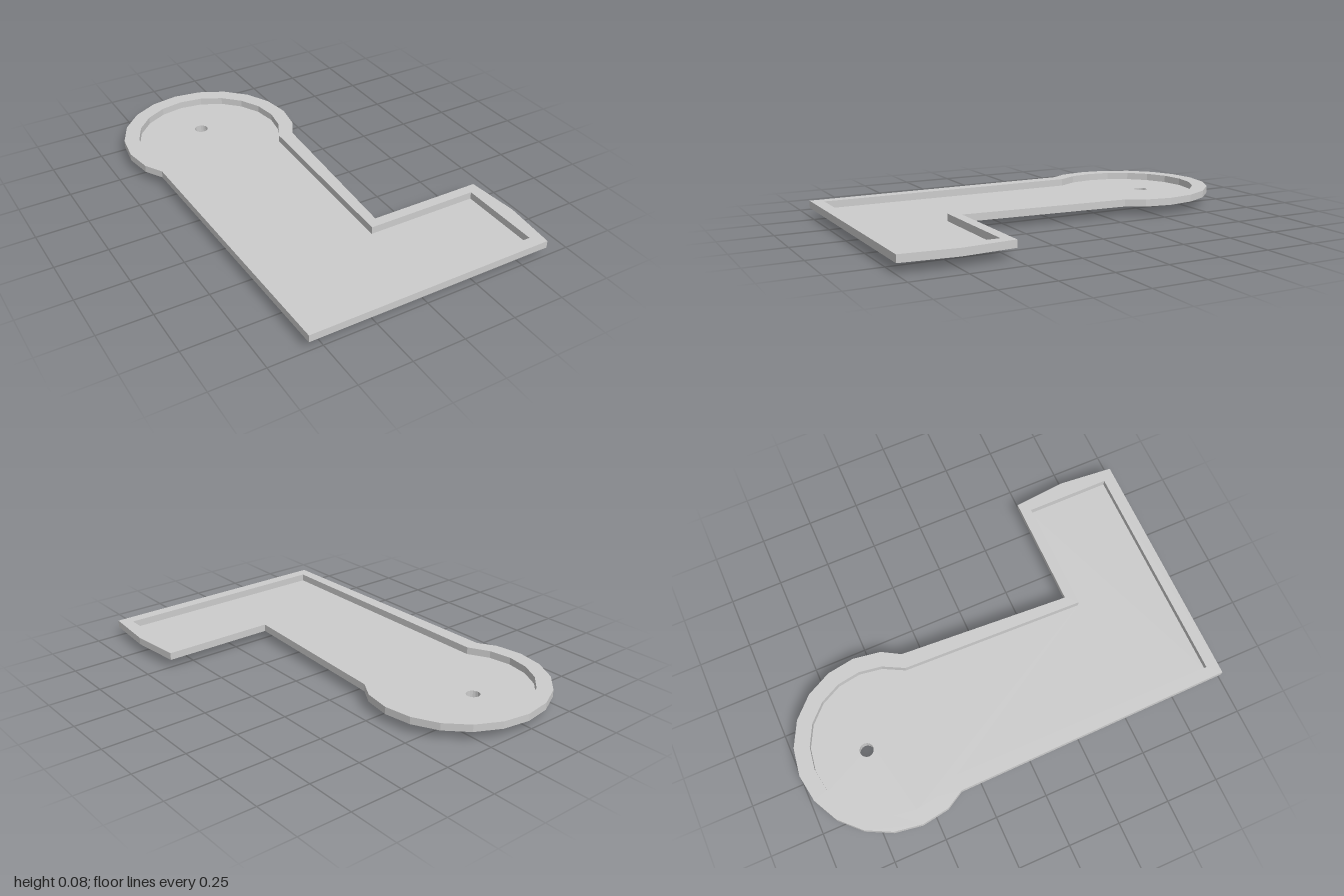
import * as THREE from 'three';

const BOTTOM = 0.045, TOP = 0.08;
const CX = -0.228, CZ = -0.57; // centre of the round end
const HOLE = { x: CX, z: -0.675, r: 0.033, sides: 16 };

const material = new THREE.MeshStandardMaterial({
  color: 0xcccccc, flatShading: true, side: THREE.DoubleSide,
});

// Round end in 18 degree steps, from the left neck over the back to the right neck
function roundEnd(radius) {
  const points = [];
  for (let i = -6; i <= 6; i++) {
    const a = (i * Math.PI) / 10;
    points.push([CX + radius * Math.sin(a), CZ - radius * Math.cos(a)]);
  }
  return points;
}

// Plan outlines as [x, z]
const outer = [
  ...roundEnd(0.43),
  [0.13, -0.35], [0.08, 0.485], [0.63, 0.485], [0.653, 0.74], [0.63, 1], [-0.566, 1], [-0.587, -0.35],
];
const inner = [
  ...roundEnd(0.356),
  [0.058, -0.36], [0.03, 0.535], [0.578, 0.535], [0.578, 0.943], [-0.513, 0.943], [-0.513, -0.36],
];
const cup = Array.from({ length: HOLE.sides }, (_, i) => {
  const a = (i / HOLE.sides) * Math.PI * 2;
  return [HOLE.x + HOLE.r * Math.sin(a), HOLE.z - HOLE.r * Math.cos(a)];
});

function addMesh(group, name, geometry) {
  const mesh = new THREE.Mesh(geometry, material);
  mesh.name = name;
  group.add(mesh);
}

// Horizontal sheet with an opening, facing up at height y
function sheet(outline, opening, y) {
  const flat = (list) => list.map(([x, z]) => new THREE.Vector2(x, -z));
  const shape = new THREE.Shape(flat(outline));
  shape.holes.push(new THREE.Path(flat(opening)));
  return new THREE.ShapeGeometry(shape).rotateX(-Math.PI / 2).translate(0, y, 0);
}

// Vertical band along a closed outline; inward turns its faces to the inside
function wall(outline, y0, y1, inward) {
  const positions = [];
  outline.forEach((p, i) => {
    let a = p, b = outline[(i + 1) % outline.length];
    if (inward) [a, b] = [b, a];
    positions.push(
      a[0], y0, a[1], a[0], y1, a[1], b[0], y1, b[1],
      a[0], y0, a[1], b[0], y1, b[1], b[0], y0, b[1],
    );
  });
  const geometry = new THREE.BufferGeometry();
  geometry.setAttribute('position', new THREE.Float32BufferAttribute(positions, 3));
  geometry.computeVertexNormals();
  return geometry;
}

export function createModel() {
  const model = new THREE.Group();
  model.name = 'miniGolfLane';

  // Sunken playing surface with the hole cut through
  addMesh(model, 'floor', sheet(inner, cup, BOTTOM));

  // Hollow border, open underneath
  const border = new THREE.Group();
  border.name = 'border';
  addMesh(border, 'borderTop', sheet(outer, inner, TOP));
  addMesh(border, 'borderOuterWall', wall(outer, BOTTOM, TOP, false));
  addMesh(border, 'borderInnerWall', wall(inner, BOTTOM, TOP, true));
  model.add(border);

  // Open tube hanging below the hole
  addMesh(model, 'holeCup', wall(cup, 0, BOTTOM, false));

  return model;
}
